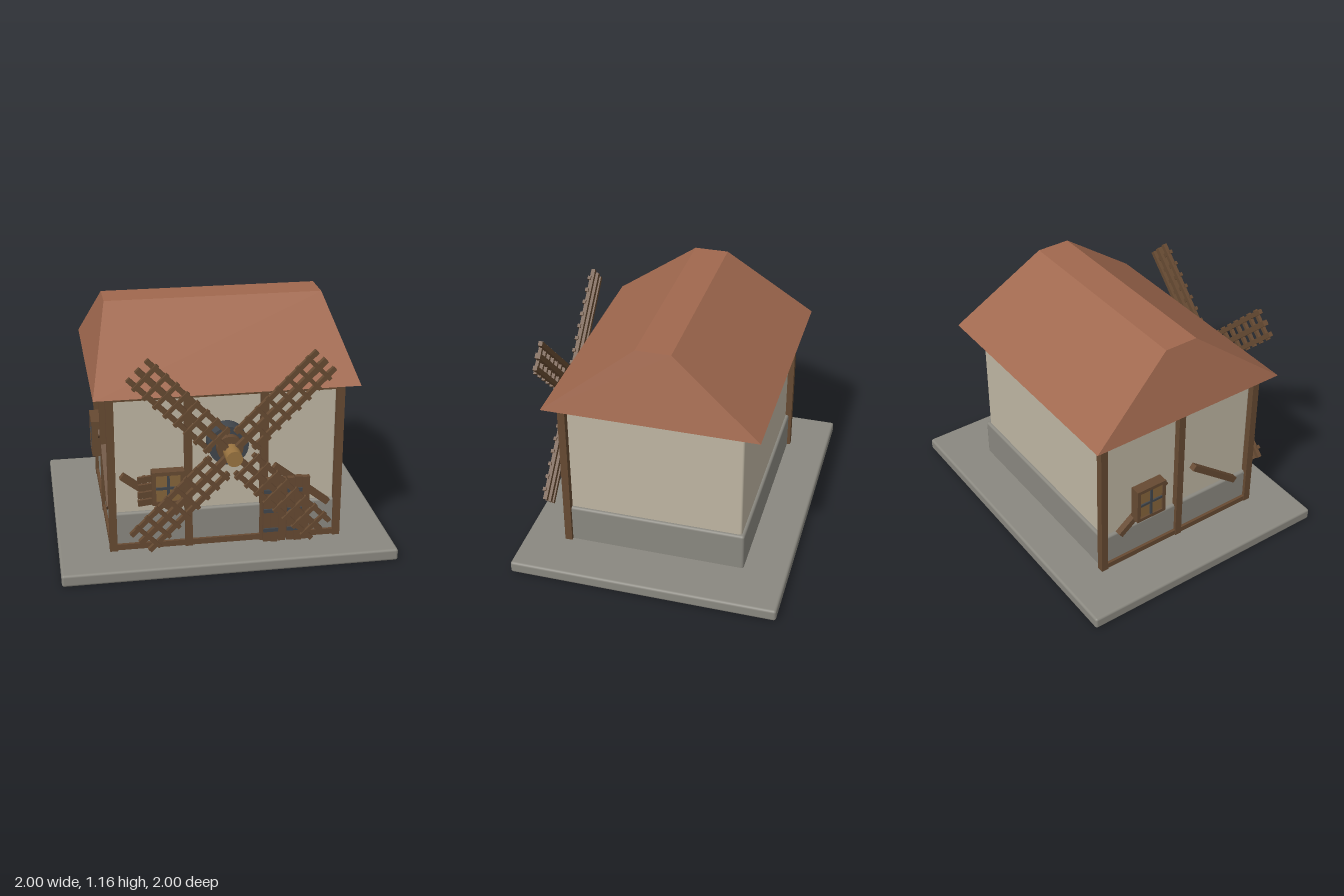
import * as THREE from 'three';
import { RoundedBoxGeometry } from 'three/addons/geometries/RoundedBoxGeometry.js';

const mat = (name, color) => {
  const m = new THREE.MeshStandardMaterial({ color });
  m.name = name;
  return m;
};

export function createModel() {
  const stone = mat('stone', 0x8a8880);
  const plaster = mat('plaster', 0xbfb6a3);
  const tile = mat('roof tile', 0xa0684e);
  const timber = mat('timber', 0x664a32);
  const plank = mat('window wood', 0x86653a);
  const brass = mat('hub wood', 0x9a7440);
  const iron = mat('iron', 0x41464c);

  const model = new THREE.Group();
  model.name = 'windmillHouse';
  const house = new THREE.Group();
  house.name = 'house';
  house.rotation.y = Math.PI / 4;
  model.add(house);

  const add = (parent, name, geo, material, x = 0, y = 0, z = 0) => {
    const m = new THREE.Mesh(geo, material);
    m.name = name;
    m.position.set(x, y, z);
    parent.add(m);
    return m;
  };
  const box = (parent, name, material, w, h, d, x, y, z) =>
    add(parent, name, new THREE.BoxGeometry(w, h, d), material, x, y, z);
  const group = (parent, name, x, y, z, ry = 0) => {
    const g = new THREE.Group();
    g.name = name;
    g.position.set(x, y, z);
    g.rotation.y = ry;
    parent.add(g);
    return g;
  };

  // Ground slab, stone skirt and plastered walls
  add(house, 'groundSlab', new RoundedBoxGeometry(1.565, 0.058, 1.282, 2, 0.012), stone, 0, 0.029, 0);
  add(house, 'stoneSkirt', new RoundedBoxGeometry(1.064, 0.2, 0.864, 2, 0.012), stone, 0, 0.145, 0);
  add(house, 'walls', new RoundedBoxGeometry(1.034, 0.79, 0.834, 2, 0.01), plaster, 0, 0.445, 0);

  // Hipped roof with a narrow flat top
  const roofGeo = new THREE.BoxGeometry(1.21, 0.325, 1.01).toNonIndexed();
  const p = roofGeo.attributes.position;
  for (let i = 0; i < p.count; i++) {
    if (p.getY(i) > 0) {
      p.setX(i, Math.sign(p.getX(i)) * 0.513);
      p.setZ(i, Math.sign(p.getZ(i)) * 0.082);
    }
  }
  roofGeo.computeVertexNormals();
  add(house, 'roof', roofGeo, tile, 0, 0.9975, 0);

  // Timber frame on the front and on one end
  const T = 0.035;
  const post = (x, z) => box(house, 'post', timber, T, 0.775, T, x, 0.445, z);
  for (const x of [-0.53, -0.177, 0.177, 0.53]) post(x, 0.43);
  for (const z of [-0.43, 0]) post(-0.53, z);
  for (const y of [0.076, 0.817]) {
    box(house, 'frontRail', timber, 1.06, 0.028, T - 0.004, 0, y, 0.43);
    box(house, 'endRail', timber, T - 0.004, 0.028, 0.86, -0.53, y, 0);
  }
  const tilt = 38 * Math.PI / 180;
  for (const x of [-0.355, 0.355]) {
    box(house, 'frontBrace', timber, 0.33, 0.03, 0.03, x, 0.335, 0.435).rotation.z = -tilt;
  }
  for (const s of [-1, 1]) {
    box(house, 'endBrace', timber, 0.03, 0.03, 0.33, -0.535, 0.335, s * 0.212).rotation.x = s * tilt;
  }

  // Small window box with a frame and an iron cross
  const makeWindow = (name, w, h, x, y, z, ry) => {
    const g = group(house, name, x, y, z, ry);
    box(g, 'pane', plank, w - 0.02, h - 0.02, 0.035, 0, 0, 0);
    for (const s of [-1, 1]) {
      box(g, 'frameSide', timber, 0.018, h, 0.05, s * (w / 2 - 0.009), 0, 0);
      box(g, 'frameBar', timber, w, 0.018, 0.05, 0, s * (h / 2 - 0.009), 0);
    }
    box(g, 'crossUpright', iron, 0.012, h - 0.036, 0.008, 0, 0, 0.02);
    box(g, 'crossBar', iron, w - 0.036, 0.012, 0.008, 0, 0, 0.02);
    return g;
  };
  makeWindow('endWindow', 0.16, 0.185, -0.555, 0.39, -0.19, -Math.PI / 2);
  const frontWindow = makeWindow('frontWindow', 0.15, 0.165, -0.275, 0.38, 0.46, 0);
  const shutter = group(frontWindow, 'shutter', -0.075, 0, 0.02, 0.2);
  for (let i = 0; i < 4; i++) {
    box(shutter, 'slat', timber, 0.065, 0.03, 0.014, -0.035, -0.058 + i * 0.038, 0);
  }
  box(shutter, 'shutterBatten', timber, 0.014, 0.14, 0.012, -0.035, 0, -0.01);

  // Double plank door with iron straps
  for (const s of [-1, 1]) {
    const leaf = group(house, s < 0 ? 'doorLeafOuter' : 'doorLeafInner', 0.28 + s * 0.056, 0.225, 0.462, 0);
    for (let i = -1; i <= 1; i++) {
      box(leaf, 'doorPlank', timber, 0.034, 0.33 - Math.abs(i) * 0.008, 0.026, i * 0.036, 0, 0);
    }
    for (const y of [-0.1, 0, 0.1]) {
      box(leaf, 'hingeStrap', iron, 0.07, 0.018, 0.009, -0.018, y, 0.016);
    }
  }

  // Bearing, shaft and hub of the sails
  const round = (name, r, z0, z1, material, sides) => {
    const m = add(house, name, new THREE.CylinderGeometry(r, r, z1 - z0, sides), material, 0, 0.58, (z0 + z1) / 2);
    m.rotation.x = Math.PI / 2;
  };
  round('bearing', 0.092, 0.41, 0.5, iron, 32);
  round('bearingPlate', 0.06, 0.5, 0.535, timber, 24);
  round('shaft', 0.028, 0.53, 0.58, timber, 16);
  round('hub', 0.037, 0.56, 0.65, brass, 16);

  // Four lattice sails
  const sails = group(house, 'sails', 0, 0.58, 0.575);
  for (let k = 0; k < 4; k++) {
    const arm = group(sails, 'sail', 0, 0, 0);
    arm.rotation.z = Math.PI / 4 + k * Math.PI / 2;
    box(arm, 'stock', timber, 0.59, 0.026, 0.026, 0.295, 0, 0);
    for (const s of [-1, 1]) {
      box(arm, 'sideRail', timber, 0.51, 0.022, 0.02, 0.335, s * 0.058, 0);
    }
    for (let i = 0; i < 8; i++) {
      box(arm, 'rung', timber, 0.018, 0.155, 0.016, 0.1 + i * 0.063, 0, 0.01);
    }
  }
  return model;
}
